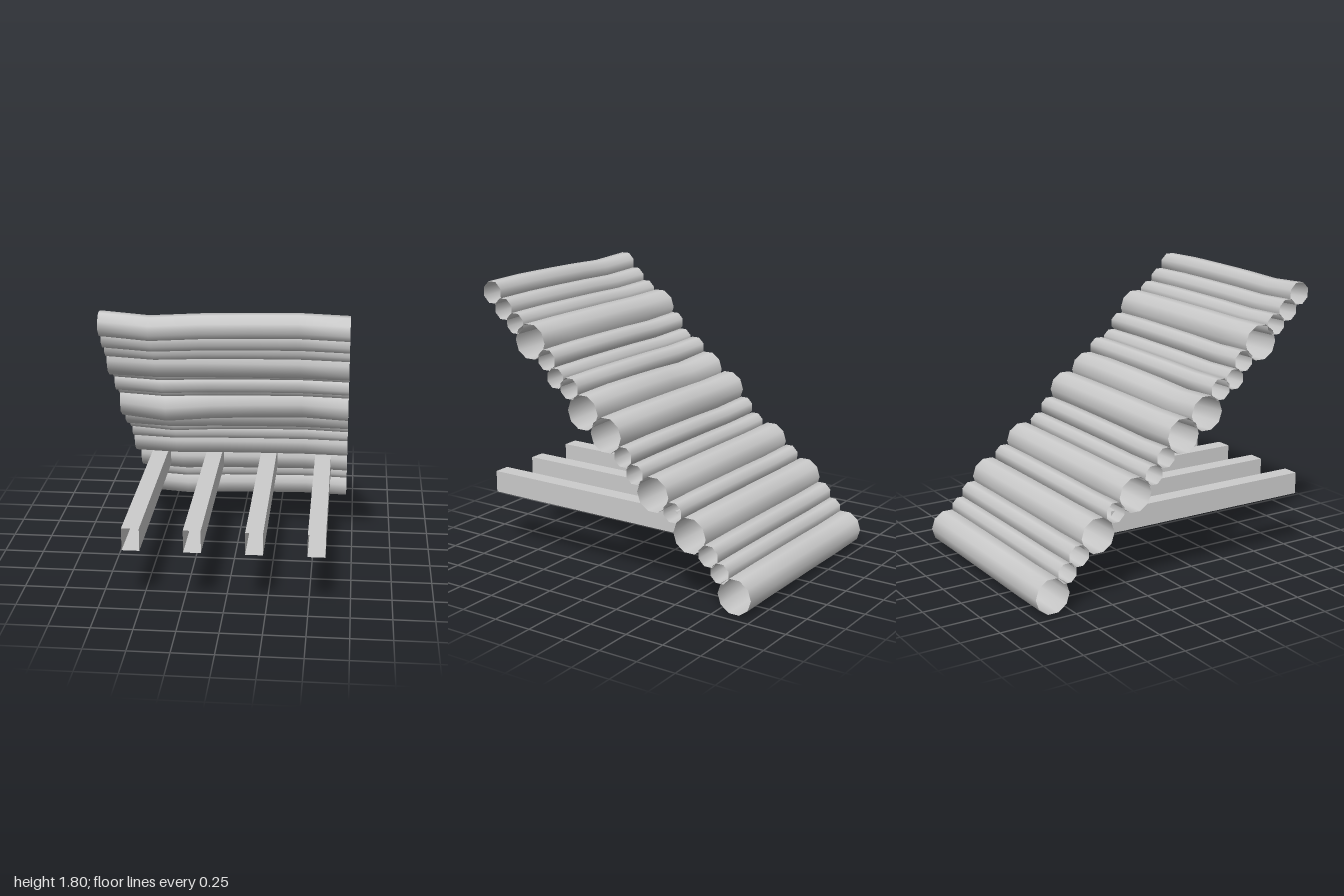
import * as THREE from 'three';

const material = new THREE.MeshStandardMaterial({ color: 0xcccccc, side: THREE.DoubleSide });

// Stations along each log and how far it bows out of the sloping plane there
const stations = [
  [-0.705, 0], [-0.42, 0.024], [-0.14, 0.005],
  [0.14, -0.005], [0.42, -0.011], [0.705, 0],
];

// Each log: z, y, radius, bow strength
const logs = [
  [0.885, 1.725, 0.073, 1], [0.80, 1.63, 0.07, 0.8], [0.71, 1.55, 0.068, 0.7],
  [0.595, 1.45, 0.113, 0.4], [0.47, 1.35, 0.068, 0.7], [0.405, 1.245, 0.066, 0.7],
  [0.30, 1.195, 0.07, 0.7], [0.20, 1.06, 0.112, 1.4], [0.03, 0.945, 0.112, 0.6],
  [-0.095, 0.83, 0.066, 0.9], [-0.18, 0.735, 0.064, 0.5], [-0.31, 0.635, 0.112, 0.4],
  [-0.45, 0.55, 0.066, 0.7], [-0.57, 0.43, 0.113, 0.4], [-0.70, 0.33, 0.07, 0.6],
  [-0.78, 0.24, 0.066, 0.7], [-0.88, 0.118, 0.113, 0.8],
];

// Open tube built from rings that follow the bowed centre line
function logGeometry(z, y, r, bow) {
  const sides = r > 0.1 ? 10 : 8;
  const positions = [], index = [];
  stations.forEach(([x, d], s) => {
    for (let j = 0; j < sides; j++) {
      const a = ((j + 0.5) / sides) * Math.PI * 2;
      positions.push(x, y - 0.74 * d * bow + r * Math.cos(a), z + 0.67 * d * bow + r * Math.sin(a));
      if (s === stations.length - 1) continue;
      const k = (j + 1) % sides, p = s * sides, q = p + sides;
      index.push(p + j, p + k, q + k, p + j, q + k, q + j);
    }
  });
  const g = new THREE.BufferGeometry();
  g.setAttribute('position', new THREE.Float32BufferAttribute(positions, 3));
  g.setIndex(index);
  g.computeVertexNormals();
  return g;
}

// Square tube along z, open at both ends
function beamGeometry(width, height, length) {
  const g = new THREE.BoxGeometry(width, height, length);
  g.setIndex(Array.from(g.index.array).slice(0, 24)); // drop the two z caps
  g.clearGroups();
  return g;
}

export function createModel() {
  const model = new THREE.Group();
  model.name = 'logRamp';

  // Sloping deck of round logs
  const deck = new THREE.Group();
  deck.name = 'logDeck';
  logs.forEach((spec, i) => {
    const log = new THREE.Mesh(logGeometry(...spec), material);
    log.name = `log${i + 1}`;
    deck.add(log);
  });
  model.add(deck);

  // Horizontal support beams under the deck
  const beams = new THREE.Group();
  beams.name = 'supportBeams';
  [-0.545, -0.182, 0.182, 0.545].forEach((x, i) => {
    const beam = new THREE.Mesh(beamGeometry(0.105, 0.14, 1.415), material);
    beam.name = `beam${i + 1}`;
    beam.position.set(x, 0.45, 0.2925);
    beams.add(beam);
  });
  model.add(beams);

  return model;
}
